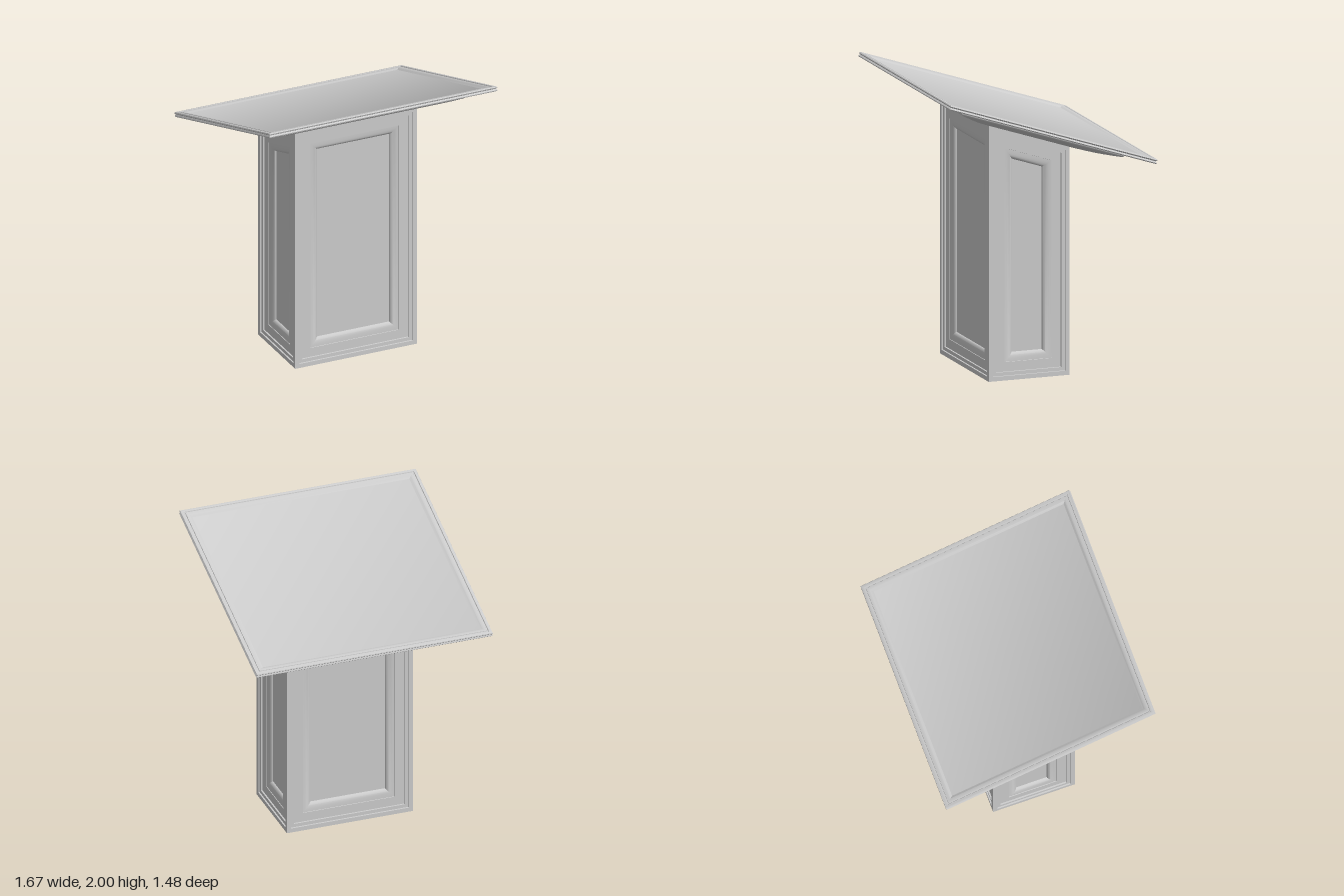
import * as THREE from 'three';
import { toCreasedNormals } from 'three/addons/utils/BufferGeometryUtils.js';

const material = new THREE.MeshStandardMaterial({ color: 0xcccccc });
const SLOPE = 0.335;
const topY = (z) => 1.64 + SLOPE * z; // slanted top of the pedestal
const X = 0.445, FRONT = 0.31, BACK = -0.265;

// Skin a series of four-cornered rings, capping the last (and optionally the first)
function loft(name, rings, capFirst) {
  const pos = [];
  const tri = (...points) => points.forEach((p) => pos.push(...p));
  const quad = (a, b, c, d) => { tri(a, b, c); tri(a, c, d); };
  for (let r = 0; r + 1 < rings.length; r++) {
    for (let i = 0; i < 4; i++) {
      const j = (i + 1) % 4;
      quad(rings[r][i], rings[r][j], rings[r + 1][j], rings[r + 1][i]);
    }
  }
  quad(...rings[rings.length - 1]);
  if (capFirst) quad(...[...rings[0]].reverse());
  const geometry = new THREE.BufferGeometry();
  geometry.setAttribute('position', new THREE.Float32BufferAttribute(pos, 3));
  const mesh = new THREE.Mesh(toCreasedNormals(geometry, 0.6), material);
  mesh.name = name;
  return mesh;
}

// Rectangle in the tilted desk plane at height v
const rect = (x, z0, z1, v) => [[-x, v, z1], [x, v, z1], [x, v, z0], [-x, v, z0]];

// Panel outline with vertical sides and a slanted top, inset evenly by d
function panelRing(x0, x1, y0, y1, d, depth) {
  const m = (y1 - y0) / (x1 - x0);
  const top = (x) => y0 + m * (x - x0) - d * Math.hypot(1, m);
  const a = x0 + d, b = x1 - d;
  return [[a, d, -depth], [b, d, -depth], [b, top(b), -depth], [a, top(a), -depth]];
}

// Stepped frame, then a quarter-round moulding falling to the sunken field
const panelProfile = [[0, 0], [0.03, 0], [0.031, 0.01], [0.055, 0.01], [0.056, 0.02], [0.12, 0.02], [0.121, 0.024]];
for (let i = 1; i <= 6; i++) {
  const t = (i / 6) * Math.PI / 2;
  panelProfile.push([0.121 + 0.059 * Math.sin(t), 0.024 + 0.026 * (1 - Math.cos(t))]);
}

function panel(name, x0, x1, y0, y1, turn, x, z) {
  const mesh = loft(name, panelProfile.map(([d, h]) => panelRing(x0, x1, y0, y1, d, h)));
  mesh.rotation.y = turn;
  mesh.position.set(x, 0, z);
  return mesh;
}

export function createModel() {
  const model = new THREE.Group();
  model.name = 'lectern';

  // Pedestal: four framed panels and a flat base
  const pedestal = new THREE.Group();
  pedestal.name = 'pedestal';
  const yF = topY(FRONT), yB = topY(BACK);
  pedestal.add(
    panel('frontPanel', -X, X, yF, yF, 0, 0, FRONT),
    panel('backPanel', -X, X, yB, yB, Math.PI, 0, BACK),
    panel('leftPanel', -FRONT, -BACK, yF, yB, Math.PI / 2, X, 0),
    panel('rightPanel', BACK, FRONT, yB, yF, -Math.PI / 2, -X, 0),
  );
  const base = new THREE.Mesh(new THREE.PlaneGeometry(2 * X, FRONT - BACK), material);
  base.name = 'base';
  base.rotation.x = Math.PI / 2;
  base.position.z = (FRONT + BACK) / 2;
  pedestal.add(base);
  model.add(pedestal);

  // Tilted desk
  const desk = new THREE.Group();
  desk.name = 'desk';
  desk.position.y = 1.74;
  desk.rotation.x = -Math.atan(SLOPE);

  // Support board: tapers out from the pedestal to a rounded rim
  const rings = [];
  for (let i = 0; i <= 6; i++) {
    const t = i / 6, mix = (a, b) => a + (b - a) * t;
    const v = mix(-0.096, -0.05) - 0.006 * Math.sin(t * Math.PI);
    rings.push(rect(mix(X, 0.657), mix(-0.311, -0.595), mix(0.295, 0.595), v));
  }
  for (let i = 0; i <= 6; i++) {
    const t = (i / 6 - 0.5) * Math.PI;
    const d = 0.014 * Math.cos(t);
    rings.push(rect(0.657 + d, -0.595 - d, 0.595 + d, -0.035 + 0.015 * Math.sin(t)));
  }
  desk.add(loft('supportBoard', rings, true));

  // Desk top: double-bead edge, raised lip and slightly sunken reading surface
  const edge = [
    [0.012, -0.018], [0.004, -0.016], [0, -0.01], [0.003, -0.004], [0.008, 0], [0.003, 0.003],
    [0, 0.009], [0.003, 0.015], [0.012, 0.018], [0.022, 0.016], [0.025, 0.011], [0.03, 0.011],
    [0.032, 0.015], [0.042, 0.015], [0.055, 0.011], [0.066, 0.004], [0.07, 0.002],
  ];
  desk.add(loft('deskTop', edge.map(([d, v]) => rect(0.835 - d, -0.775 + d, 0.775 - d, v)), true));
  model.add(desk);
  return model;
}
